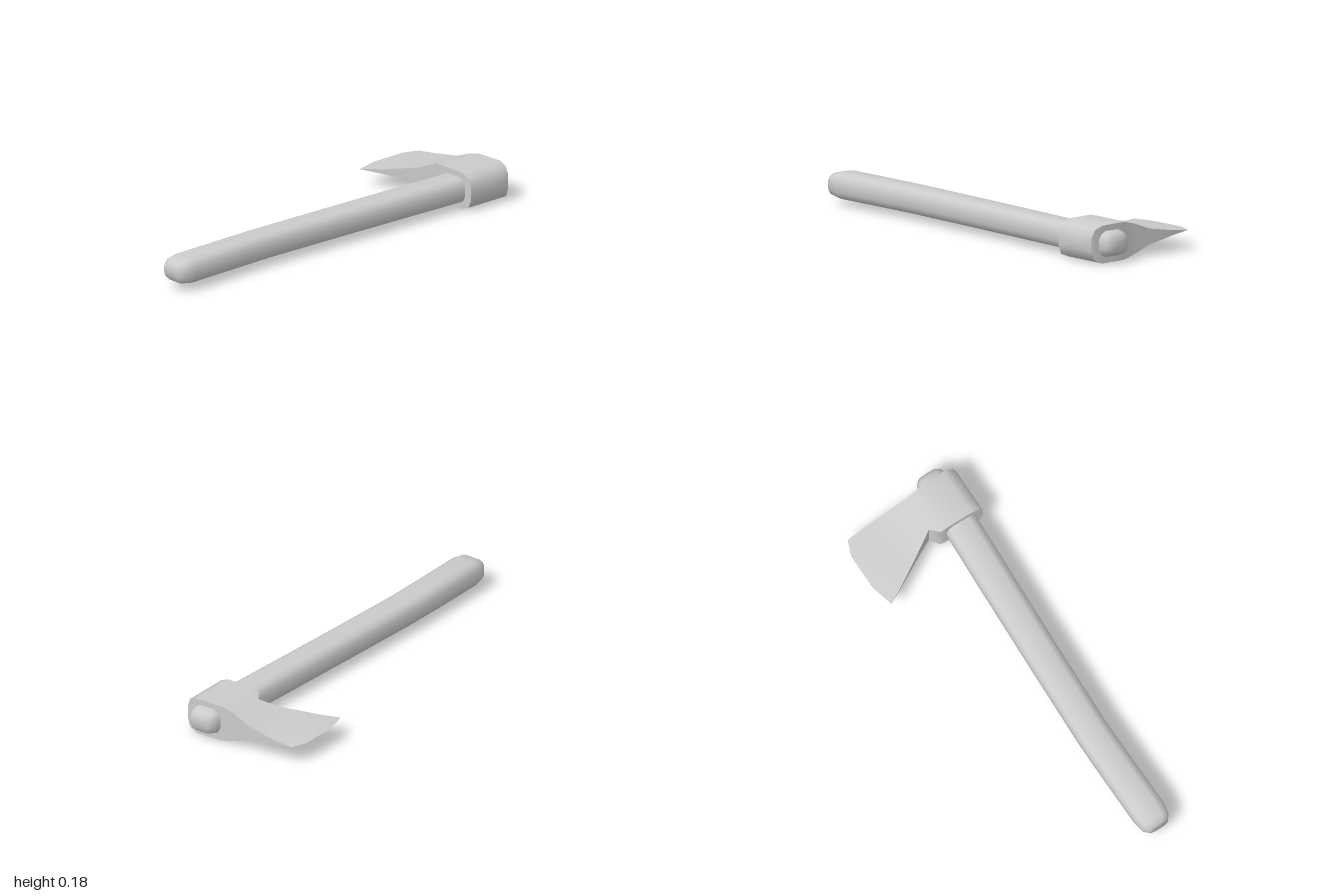
import * as THREE from 'three';
import { toCreasedNormals } from 'three/addons/utils/BufferGeometryUtils.js';

const MID = 0.09; // height of the mid plane

// Skin a list of rings (counter-clockwise about the direction of travel) and cap both ends.
function loft(rings, crease) {
  const positions = [];
  const tri = (a, b, c) => {
    const area = b.clone().sub(a).cross(c.clone().sub(a)).length();
    if (area > 1e-7) for (const p of [a, b, c]) positions.push(p.x, p.y, p.z);
  };
  const n = rings[0].length;
  for (let r = 0; r < rings.length - 1; r++) {
    const a = rings[r], b = rings[r + 1];
    for (let i = 0; i < n; i++) {
      const j = (i + 1) % n;
      tri(a[i], a[j], b[j]);
      tri(a[i], b[j], b[i]);
    }
  }
  const cap = (ring, flip) => {
    const c = new THREE.Vector3();
    ring.forEach((p) => c.addScaledVector(p, 1 / n));
    for (let i = 0; i < n; i++) {
      const p = ring[i], q = ring[(i + 1) % n];
      if (flip) tri(c, q, p); else tri(c, p, q);
    }
  };
  cap(rings[0], true);
  cap(rings[rings.length - 1], false);
  const geometry = new THREE.BufferGeometry();
  geometry.setAttribute('position', new THREE.Float32BufferAttribute(positions, 3));
  return toCreasedNormals(geometry, crease);
}

// Handle cross-section: a rectangle with rounded corners
function handleRing(z, cx, w, h) {
  const corner = [[1, 0.4], [0.82, 0.82], [0.5, 1]];
  const back = [...corner].reverse();
  const flip = (list, sx, sy) => list.map(([x, y]) => [x * sx, y * sy]);
  const outline = [...corner, ...flip(back, -1, 1), ...flip(corner, -1, -1), ...flip(back, 1, -1)];
  return outline.map(([x, y]) => new THREE.Vector3(cx + x * w, MID + y * h, z));
}

// Head cross-section at x: half thickness h, thinned to edge * h at both z ends
function headRing([x, h, z0, z1, edge = 1]) {
  const steps = [0, 0.25, 0.75, 1];
  const side = (s) => steps.map((t) => new THREE.Vector3(
    x, MID + s * h * (t === 0 || t === 1 ? edge : 1), THREE.MathUtils.lerp(z0, z1, t)));
  return [...side(1), ...side(-1).reverse()];
}

export function createModel() {
  const model = new THREE.Group();
  const material = new THREE.MeshStandardMaterial({ color: 0xcccccc });
  const add = (name, geometry) => {
    const mesh = new THREE.Mesh(geometry, material);
    mesh.name = name;
    model.add(mesh);
  };

  // Gently curved handle: z, centre x, half width, half height
  const handle = [
    [-1, 0.195, 0.05, 0.034], [-0.985, 0.195, 0.066, 0.05], [-0.95, 0.195, 0.075, 0.06],
    [-0.7, 0.192, 0.078, 0.061], [-0.4, 0.179, 0.078, 0.061], [0, 0.163, 0.077, 0.061],
    [0.45, 0.148, 0.077, 0.061], [0.6, 0.149, 0.078, 0.061], [0.92, 0.154, 0.079, 0.061],
    [0.975, 0.154, 0.07, 0.052], [1, 0.154, 0.05, 0.035],
  ];
  add('handle', loft(handle.map((s) => handleRing(...s)), 1.4));

  // Bearded axe head from cutting edge to poll: x, half thickness, back z, front z, edge factor
  const head = [
    [-0.31, 0, -0.86, -0.68],
    [-0.28, 0.006, -0.935, -0.565, 0],
    [-0.18, 0.015, -0.941, -0.622, 0.8],
    [-0.13, 0.021, -0.943, -0.651],
    [-0.04, 0.037, -0.942, -0.705],
    [0.045, 0.07, -0.938, -0.755],
    [0.08, 0.08, -0.94, -0.712],
    [0.115, 0.088, -0.943, -0.712],
    [0.25, 0.088, -0.95, -0.712],
    [0.293, 0.071, -0.945, -0.712],
    [0.31, 0.03, -0.94, -0.712],
  ];
  add('axeHead', loft(head.map(headRing), 1.0));

  return model;
}
